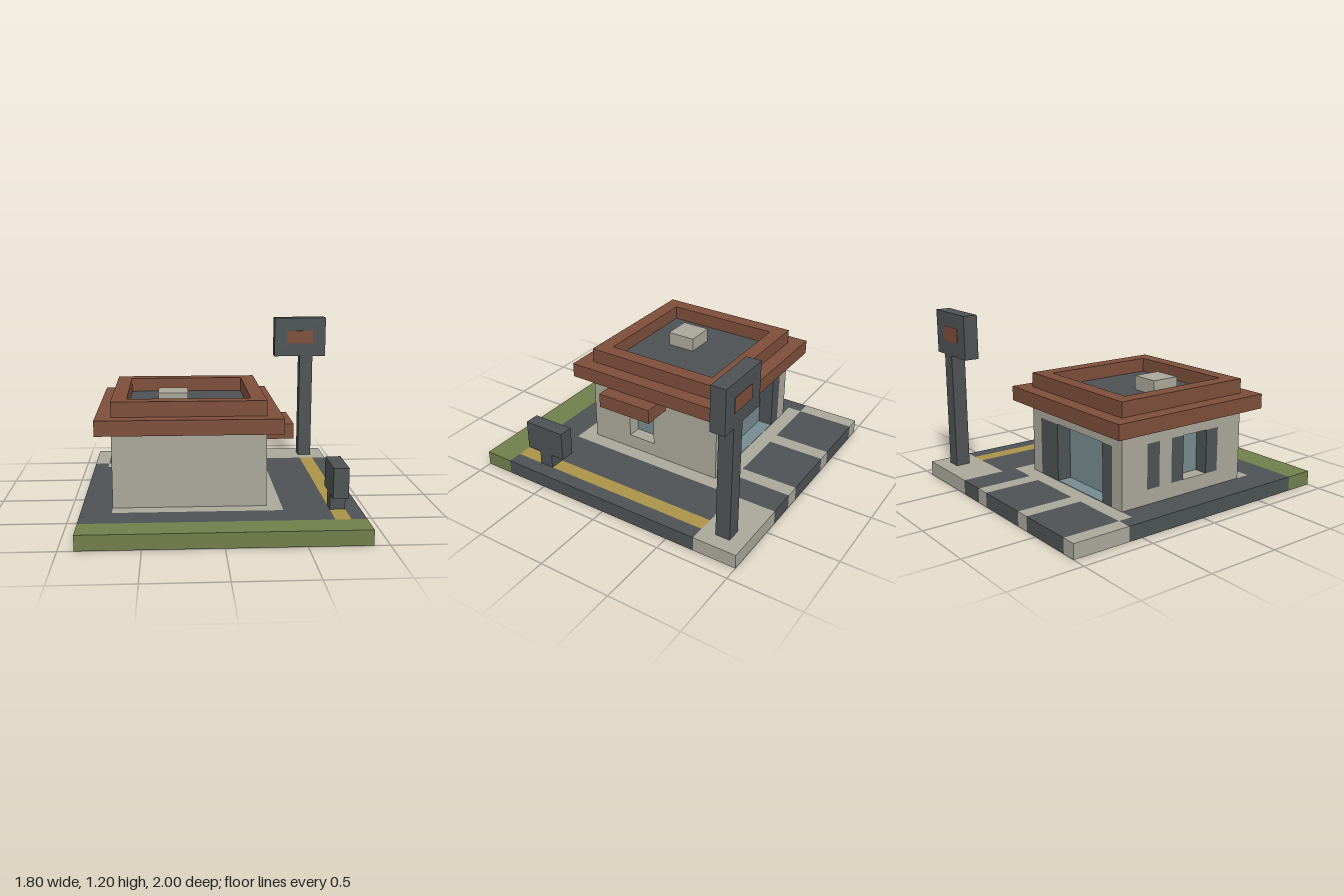
import * as THREE from 'three';

const material = (name, color) => {
  const m = new THREE.MeshStandardMaterial({ color });
  m.name = name;
  return m;
};

export function createModel() {
  const dark = material('charcoal', 0x4d5254);
  const light = material('pale stone', 0xaaa79a);
  const brown = material('roof brown', 0x7d4e3a);
  const green = material('grass green', 0x707f4b);
  const yellow = material('lane yellow', 0xaa9248);
  const blue = material('window blue', 0x768a8f);

  const model = new THREE.Group();
  model.name = 'driveThroughRestaurant';
  const group = (name) => {
    const g = new THREE.Group();
    g.name = name;
    model.add(g);
    return g;
  };
  // Box given by its limits on each axis
  const box = (parent, name, mat, [x0, x1], [y0, y1], [z0, z1]) => {
    const mesh = new THREE.Mesh(new THREE.BoxGeometry(x1 - x0, y1 - y0, z1 - z0), mat);
    mesh.position.set((x0 + x1) / 2, (y0 + y1) / 2, (z0 + z1) / 2);
    mesh.name = name;
    parent.add(mesh);
  };

  // Ground slab: bands along z, each split along x into [colour, right edge]
  const ground = group('ground');
  const lane = [[dark, 0.7], [yellow, 0.8], [dark, 0.9]];
  const bays = [[light, -0.8], [dark, -0.4], [light, -0.3], [dark, 0.1], [light, 0.2]];
  const bands = [
    [-1, -0.7, [...bays, [dark, 0.4], [light, 0.9]]],
    [-0.7, -0.6, [...bays, ...lane]],
    [-0.6, -0.5, [[dark, -0.8], [light, 0.4], ...lane]],
    [-0.5, 0.5, [[dark, 0.3], [light, 0.4], ...lane]],
    [0.5, 0.6, [[dark, -0.7], [light, 0.4], ...lane]],
    [0.6, 0.8, lane],
    [0.8, 1, [[green, 0.9]]],
  ];
  const groundNames = new Map([[dark, 'asphalt'], [light, 'paving'], [yellow, 'laneLine'], [green, 'grass']]);
  for (const [z0, z1, strips] of bands) {
    let x = -0.9;
    for (const [mat, end] of strips) {
      box(ground, groundNames.get(mat), mat, [x, end], [0, 0.1], [z0, z1]);
      x = end;
    }
  }

  // Walls around a solid core
  const building = group('building');
  box(building, 'core', light, [-0.6, 0.2], [0.1, 0.6], [-0.39, 0.4]);
  box(building, 'frontWall', light, [-0.7, 0.3], [0.1, 0.6], [0.4, 0.5]);

  // Right wall with the serving window
  const rx = [0.2, 0.3];
  box(building, 'rightWall', light, rx, [0.1, 0.6], [0.2, 0.4]);
  box(building, 'rightWall', light, rx, [0.1, 0.6], [-0.4, 0]);
  box(building, 'servingSill', light, rx, [0.1, 0.2], [0, 0.2]);
  box(building, 'servingLintel', light, rx, [0.4, 0.6], [0, 0.2]);
  box(building, 'servingWindow', blue, [0.2, 0.205], [0.2, 0.4], [0, 0.2]);
  box(building, 'servingCanopy', brown, [0.3, 0.5], [0.5, 0.6], [-0.1, 0.3]);

  // Left wall with dark posts and a recessed window
  const lx = [-0.7, -0.6];
  box(building, 'leftSill', light, lx, [0.1, 0.2], [-0.4, 0.4]);
  box(building, 'leftLintel', light, lx, [0.5, 0.6], [-0.4, 0.4]);
  for (const [z0, z1] of [[-0.4, -0.3], [-0.2, -0.1], [0.3, 0.4]])
    box(building, 'leftWall', light, lx, [0.2, 0.5], [z0, z1]);
  for (const z of [-0.3, -0.1, 0.2])
    box(building, 'windowPost', dark, lx, [0.2, 0.5], [z, z + 0.1]);
  box(building, 'leftWindow', blue, [-0.605, -0.6], [0.2, 0.5], [0, 0.2]);

  // Back wall with the recessed glass entrance
  const bz = [-0.5, -0.4];
  box(building, 'backLintel', light, [-0.7, 0.3], [0.5, 0.6], bz);
  box(building, 'backCorner', light, [-0.7, -0.6], [0.1, 0.5], bz);
  box(building, 'backCorner', light, [0.2, 0.3], [0.1, 0.5], bz);
  box(building, 'doorFrame', dark, [-0.6, -0.5], [0.1, 0.5], bz);
  box(building, 'doorFrame', dark, [0, 0.2], [0.1, 0.5], bz);
  box(building, 'glassDoor', blue, [-0.5, 0], [0.1, 0.5], [-0.4, -0.392]);
  box(building, 'doorThreshold', blue, [-0.5, 0], [0.1, 0.104], bz);

  // Roof: eave slab, parapet ring, deck and vent
  const roof = group('roof');
  box(roof, 'eave', brown, [-0.8, 0.4], [0.6, 0.7], [-0.6, 0.6]);
  for (const z of [-0.5, 0.4]) box(roof, 'parapet', brown, [-0.7, 0.3], [0.7, 0.8], [z, z + 0.1]);
  for (const x of [-0.7, 0.2]) box(roof, 'parapet', brown, [x, x + 0.1], [0.7, 0.8], [-0.4, 0.4]);
  box(roof, 'roofDeck', dark, [-0.6, 0.2], [0.7, 0.704], [-0.4, 0.4]);
  box(roof, 'roofVent', light, [-0.4, -0.2], [0.704, 0.8], [0, 0.2]);

  // Tall roadside sign
  const sign = group('pylonSign');
  box(sign, 'signPole', dark, [0.7, 0.8], [0.1, 0.9], [-0.9, -0.8]);
  box(sign, 'signBoard', dark, [0.5, 0.9], [0.9, 1.2], [-0.9, -0.8]);
  for (const z of [-0.903, -0.8])
    box(sign, 'signPanel', brown, [0.6, 0.8], [1, 1.1], [z, z + 0.003]);

  // Order board beside the lane
  const board = group('orderBoard');
  box(board, 'orderBoardPost', dark, [0.7, 0.8], [0.1, 0.2], [0.5, 0.6]);
  box(board, 'orderBoardPanel', dark, [0.7, 0.8], [0.2, 0.4], [0.4, 0.7]);

  return model;
}
